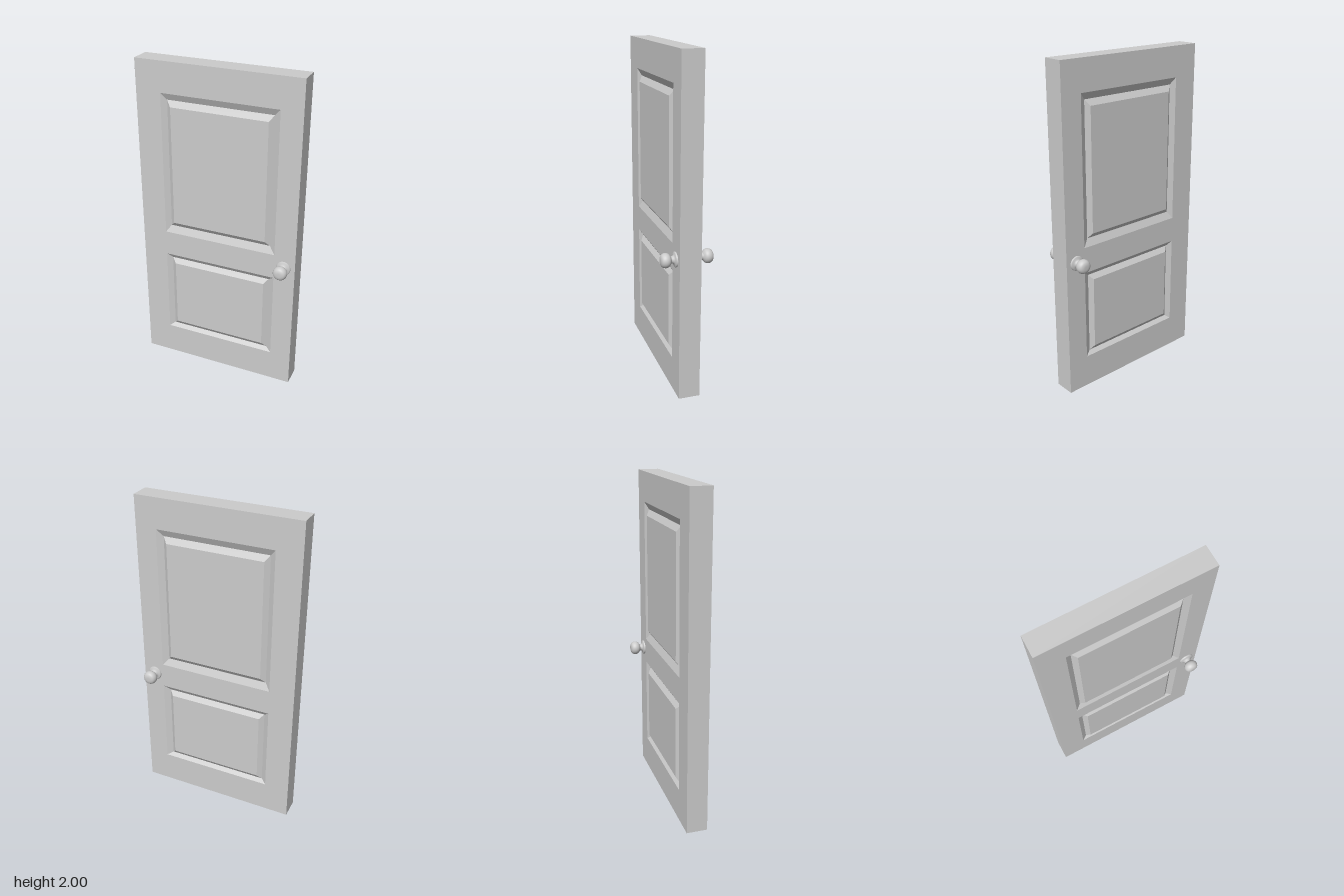
import * as THREE from 'three';

const FACE = 0.0635; // half thickness of the slab
const GROOVE = 0.044; // depth plane of the groove around each panel
const RAISED = 0.0655; // raised field, slightly proud of the slab

const flat = new THREE.MeshStandardMaterial({ color: 0xcccccc, flatShading: true, side: THREE.DoubleSide });
const smooth = new THREE.MeshStandardMaterial({ color: 0xcccccc, side: THREE.DoubleSide });

// Each panel: x and y limits of the outer rim, the groove and the raised field
const panels = [
  { name: 'upperPanel', rim: [-0.345, 0.925, 0.37, 1.816], groove: [-0.313, 0.97, 0.333, 1.775], field: [-0.285, 1.0, 0.307, 1.74] },
  { name: 'lowerPanel', rim: [-0.345, 0.203, 0.37, 0.766], groove: [-0.313, 0.227, 0.333, 0.737], field: [-0.285, 0.258, 0.307, 0.707] },
];

function corners([x0, y0, x1, y1], z) {
  return [[x0, y0, z], [x1, y0, z], [x1, y1, z], [x0, y1, z]];
}

// Swap the x limits for the face that is turned around
function flipX([x0, y0, x1, y1], side) {
  return side > 0 ? [x0, y0, x1, y1] : [-x1, y0, -x0, y1];
}

// Joins rectangular rings with quads; sides run bottom, right, top, left
function loft(rings, { cap = false, firstSide = 0 } = {}) {
  const pos = [];
  const quad = (a, b, c, d) => pos.push(...a, ...b, ...c, ...a, ...c, ...d);
  for (let r = 0; r < rings.length - 1; r++) {
    const a = rings[r], b = rings[r + 1];
    for (let i = firstSide; i < 4; i++) {
      const j = (i + 1) % 4;
      quad(a[i], a[j], b[j], b[i]);
    }
  }
  if (cap) quad(...rings[rings.length - 1]);
  const geo = new THREE.BufferGeometry();
  geo.setAttribute('position', new THREE.Float32BufferAttribute(pos, 3));
  geo.computeVertexNormals();
  return geo;
}

function addMesh(parent, geo, material, name) {
  const mesh = new THREE.Mesh(geo, material);
  mesh.name = name;
  parent.add(mesh);
  return mesh;
}

// Rosette, neck and round knob: [radius, distance from the mid plane]
function knobGeometry() {
  const rosette = [[0.044, 0.062], [0.044, 0.07], [0.04, 0.073], [0.029, 0.075], [0.023, 0.08], [0.0205, 0.087], [0.021, 0.093]];
  const ball = new THREE.SplineCurve([
    [0.021, 0.093], [0.029, 0.0985], [0.038, 0.107], [0.0425, 0.12],
    [0.041, 0.134], [0.033, 0.147], [0.018, 0.1535], [0, 0.1545],
  ].map(([r, d]) => new THREE.Vector2(r, d))).getPoints(28);
  const profile = [...rosette.slice(0, -1).map(([r, d]) => new THREE.Vector2(r, d)), ...ball];
  profile[profile.length - 1].x = 0;
  return new THREE.LatheGeometry(profile, 40).rotateX(Math.PI / 2);
}

export function createModel() {
  const door = new THREE.Group();
  door.name = 'door';

  // Slab edges: right, top and left, the underside is open
  const outline = [-0.5, 0, 0.5, 2];
  addMesh(door, loft([corners(outline, -FACE), corners(outline, FACE)], { firstSide: 1 }), flat, 'slabEdges');

  for (const side of [1, -1]) {
    const half = new THREE.Group();
    half.name = side > 0 ? 'frontSide' : 'backSide';
    if (side < 0) half.rotation.y = Math.PI;
    door.add(half);

    // Flat face with openings for the panels
    const toPoints = (rect) => corners(rect, 0).map(([x, y]) => new THREE.Vector2(x, y));
    const shape = new THREE.Shape(toPoints(outline));
    for (const p of panels) shape.holes.push(new THREE.Path(toPoints(flipX(p.rim, side)).reverse()));
    addMesh(half, new THREE.ShapeGeometry(shape).translate(0, 0, FACE), flat, 'slabFace');

    // Panels: slope in to the groove, then out to the raised field
    for (const p of panels) {
      const rings = [
        corners(flipX(p.rim, side), FACE),
        corners(flipX(p.groove, side), GROOVE),
        corners(flipX(p.field, side), RAISED),
      ];
      addMesh(half, loft(rings, { cap: true }), flat, p.name);
    }

    // Door knob
    addMesh(half, knobGeometry(), smooth, 'knob').position.set(0.429 * side, 0.85, 0);
  }
  return door;
}
